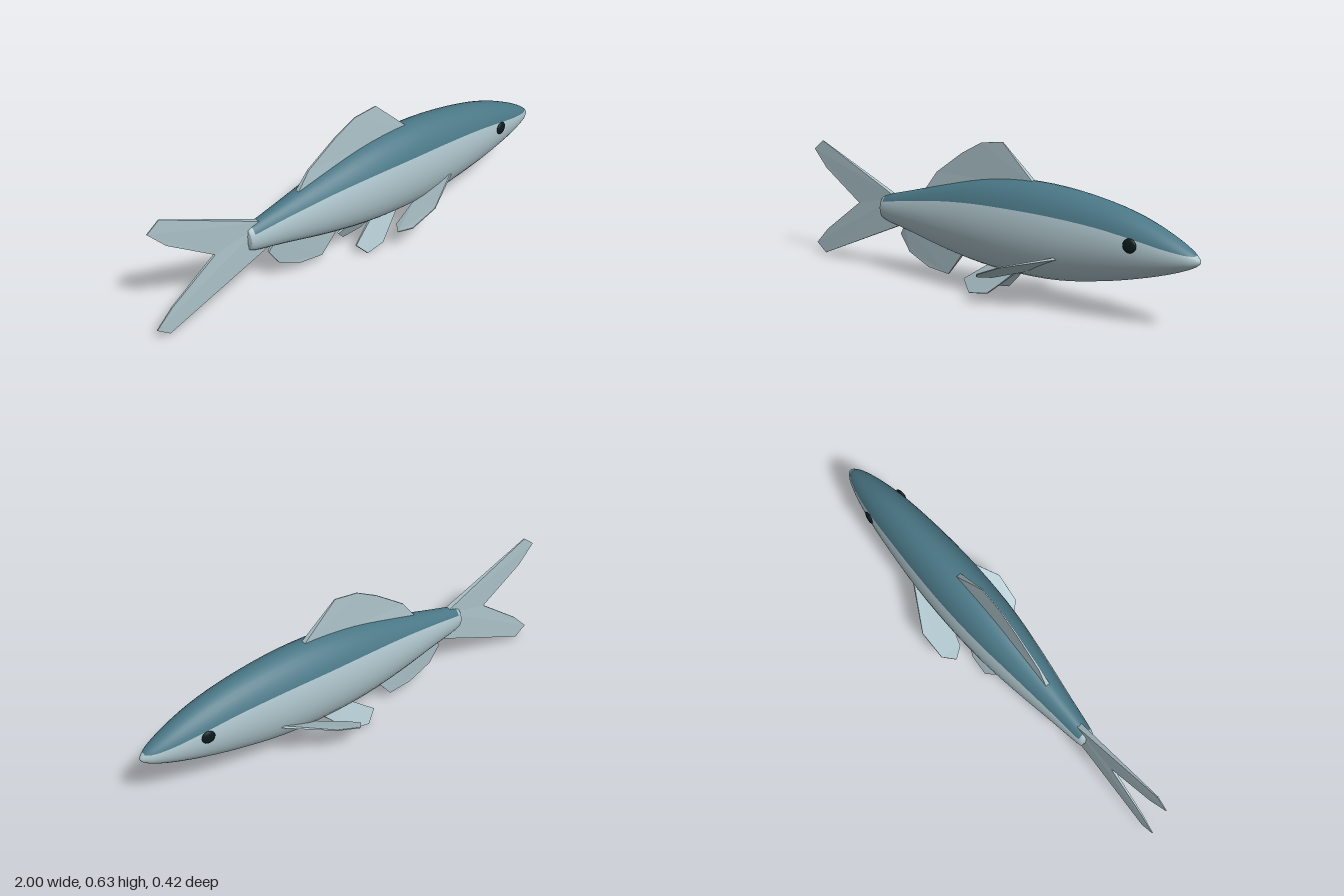
import * as THREE from 'three';

const silver = new THREE.MeshStandardMaterial({ color: 0xacc3ca });
silver.name = 'silver';
const teal = new THREE.MeshStandardMaterial({ color: 0x4a7786 });
teal.name = 'teal';
const black = new THREE.MeshStandardMaterial({ color: 0x0a1a1c });
black.name = 'eyeBlack';

// Body stations: x, top, bottom, half width, height of the colour line
const STATIONS = [
  [-0.572, 0.285, 0.275, 0.004, 0.28],
  [-0.568, 0.315, 0.245, 0.026, 0.3],
  [-0.55, 0.337, 0.224, 0.038, 0.31],
  [-0.4, 0.376, 0.193, 0.061, 0.336],
  [-0.2, 0.427, 0.15, 0.092, 0.366],
  [0, 0.472, 0.119, 0.115, 0.385],
  [0.2, 0.493, 0.107, 0.123, 0.39],
  [0.4, 0.487, 0.113, 0.119, 0.386],
  [0.6, 0.458, 0.145, 0.104, 0.37],
  [0.75, 0.419, 0.18, 0.086, 0.346],
  [0.87, 0.371, 0.215, 0.063, 0.321],
  [0.95, 0.329, 0.245, 0.039, 0.306],
  [0.983, 0.306, 0.262, 0.021, 0.302],
  [0.997, 0.291, 0.274, 0.009, 0.29],
  [1, 0.284, 0.281, 0.002, 0.284],
];

// Smooth loft of ellipses whose vertices follow the colour line
function bodyGeometry() {
  const outline = new THREE.CatmullRomCurve3(STATIONS.map(s => new THREE.Vector3(s[0], s[1], s[2])), false, 'catmullrom', 0.5);
  const girth = new THREE.CatmullRomCurve3(STATIONS.map(s => new THREE.Vector3(s[0], s[3], s[4])), false, 'catmullrom', 0.5);
  const rings = (STATIONS.length - 1) * 3, upper = 14, lower = 20, n = upper + lower;
  const pos = [], back = [], belly = [], xs = [];
  for (let i = 0; i <= rings; i++) {
    const o = outline.getPoint(i / rings), g = girth.getPoint(i / rings);
    const c = (o.y + o.z) / 2, h = (o.y - o.z) / 2;
    const a = Math.asin(THREE.MathUtils.clamp((g.z - c) / h, -0.9, 0.97));
    xs.push(o.x);
    for (let j = 0; j < n; j++) {
      const t = j < upper
        ? a + (Math.PI - 2 * a) * j / upper
        : Math.PI - a + (Math.PI + 2 * a) * (j - upper) / lower;
      pos.push(o.x, c + h * Math.sin(t), g.y * Math.cos(t));
    }
  }
  for (let i = 0; i < rings; i++) {
    const mid = (xs[i] + xs[i + 1]) / 2;
    for (let j = 0; j < n; j++) {
      const p = i * n + j, q = i * n + (j + 1) % n;
      const list = j < upper && mid > -0.556 && mid < 0.98 ? back : belly;
      list.push(p, p + n, q, q, p + n, q + n);
    }
  }
  // End caps
  for (let j = 1; j < n - 1; j++) {
    belly.push(0, j, j + 1);
    belly.push(rings * n, rings * n + j + 1, rings * n + j);
  }
  const geo = new THREE.BufferGeometry();
  geo.setAttribute('position', new THREE.Float32BufferAttribute(pos, 3));
  geo.setIndex([...back, ...belly]);
  geo.addGroup(0, back.length, 0);
  geo.addGroup(back.length, belly.length, 1);
  geo.computeVertexNormals();
  return geo;
}

// Tapered fin plate from an outline of [x, y, z, half thickness]
function fin(name, outline, flat = false) {
  const project = p => new THREE.Vector2(p[0], flat ? -p[2] : p[1]);
  let pts = outline;
  if (THREE.ShapeUtils.isClockWise(pts.map(project))) pts = [...pts].reverse();
  const v = pts.map(p => new THREE.Vector3(p[0], p[1], p[2]));
  const normal = new THREE.Vector3();
  v.forEach((p, i) => normal.add(new THREE.Vector3().crossVectors(p, v[(i + 1) % v.length])));
  normal.normalize();
  const front = v.map((p, i) => p.clone().addScaledVector(normal, pts[i][3]));
  const rear = v.map((p, i) => p.clone().addScaledVector(normal, -pts[i][3]));
  const tris = [];
  for (const [a, b, c] of THREE.ShapeUtils.triangulateShape(pts.map(project), [])) {
    tris.push(front[a], front[b], front[c], rear[a], rear[c], rear[b]);
  }
  v.forEach((_, i) => {
    const k = (i + 1) % v.length;
    tris.push(rear[i], rear[k], front[k], rear[i], front[k], front[i]);
  });
  const geo = new THREE.BufferGeometry().setFromPoints(tris);
  geo.computeVertexNormals();
  const mesh = new THREE.Mesh(geo, silver);
  mesh.name = name;
  return mesh;
}

export function createModel() {
  const model = new THREE.Group();
  model.name = 'fish';

  const body = new THREE.Mesh(bodyGeometry(), [teal, silver]);
  body.name = 'body';
  model.add(body);

  // Fins on the centre line
  model.add(fin('dorsalFin', [
    [0.27, 0.47, 0, 0.012], [0.09, 0.633, 0, 0.002], [-0.02, 0.62, 0, 0.002],
    [-0.12, 0.568, 0, 0.003], [-0.26, 0.472, 0, 0.004], [-0.33, 0.38, 0, 0.01],
  ]));
  model.add(fin('analFin', [
    [-0.1, 0.16, 0, 0.01], [-0.2, 0.037, 0, 0.003], [-0.31, 0.05, 0, 0.003],
    [-0.42, 0.1, 0, 0.003], [-0.47, 0.175, 0, 0.004], [-0.44, 0.22, 0, 0.01],
  ]));
  model.add(fin('tailFin', [
    [-0.49, 0.335, 0, 0.012], [-0.945, 0.538, 0, 0.002], [-1, 0.496, 0, 0.002],
    [-0.925, 0.415, 0, 0.003], [-0.72, 0.28, 0, 0.005], [-0.925, 0.132, 0, 0.003],
    [-1, 0.057, 0, 0.002], [-0.945, 0.015, 0, 0.002], [-0.47, 0.212, 0, 0.012],
  ]));

  // Paired parts
  for (const [side, s] of [['left', 1], ['right', -1]]) {
    const mirror = pts => pts.map(([x, y, z, t]) => [x, y, z * s, t]);
    model.add(fin(side + 'PectoralFin', mirror([
      [0.44, 0.228, 0.1, 0.005], [0.24, 0.181, 0.21, 0.002], [0.12, 0.132, 0.205, 0.002],
      [0.08, 0.106, 0.158, 0.002], [0.12, 0.1, 0.106, 0.003], [0.28, 0.148, 0.06, 0.005],
    ]), true));
    model.add(fin(side + 'PelvicFin', mirror([
      [0.2, 0.13, 0.023, 0.007], [0.12, 0.058, 0.056, 0.004], [0.07, 0.016, 0.075, 0.004],
      [-0.02, 0.004, 0.081, 0.004], [-0.065, 0.052, 0.059, 0.004], [0.05, 0.13, 0.023, 0.007],
    ])));
    // Eye disc lying on the cheek
    const eye = new THREE.Mesh(new THREE.SphereGeometry(0.028, 16, 10), black);
    eye.name = side + 'Eye';
    eye.scale.z = 0.32;
    eye.position.set(0.75, 0.322, 0.086 * s);
    eye.rotation.y = 0.14 * s;
    model.add(eye);
  }
  return model;
}
